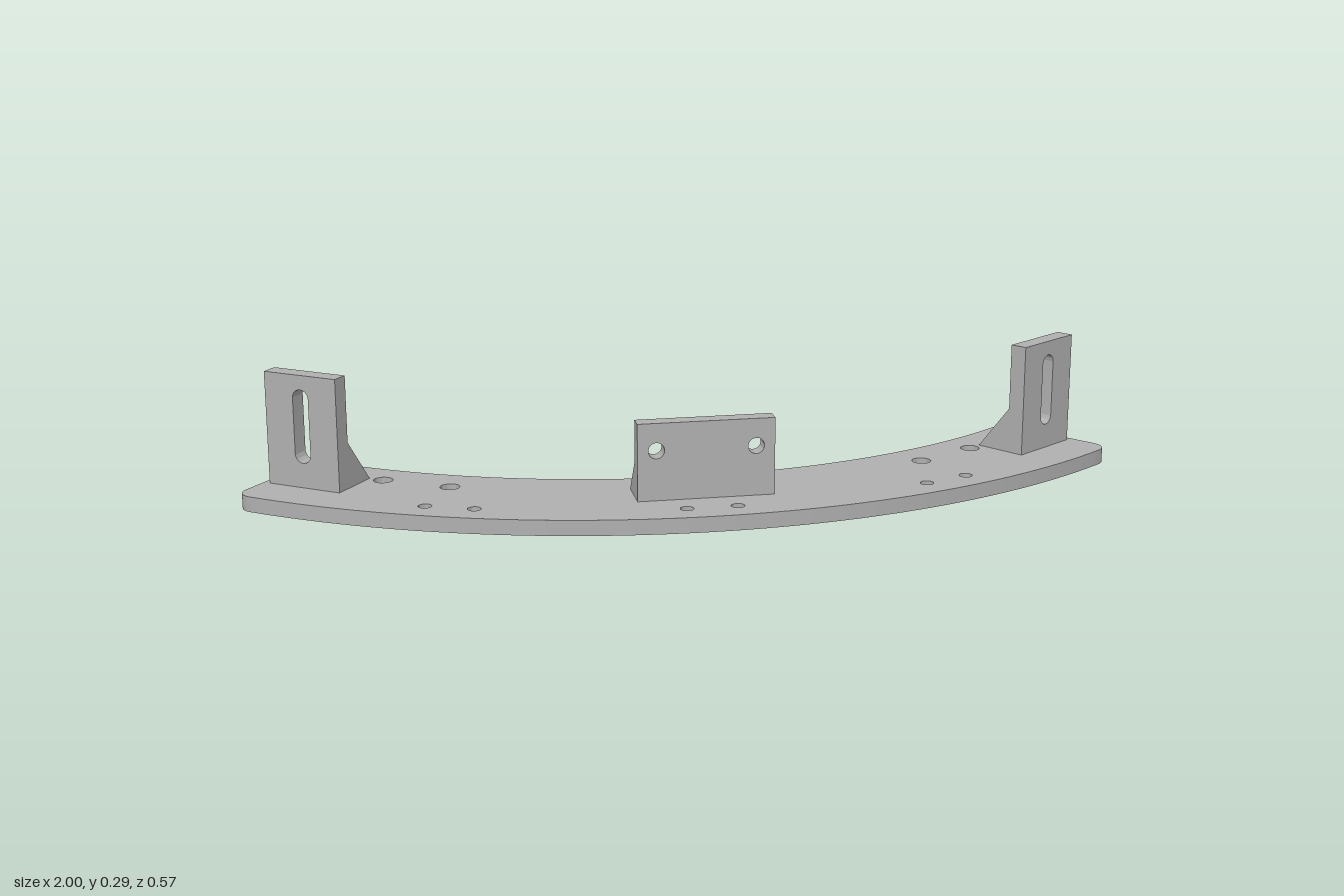
import * as THREE from 'three';
import { toCreasedNormals } from 'three/addons/utils/BufferGeometryUtils.js';

const metal = new THREE.MeshStandardMaterial({ color: 0xb0b0b0 });
metal.name = 'plain grey';

const PLATE = 0.035; // plate thickness
const HALF = Math.PI / 2;

function circleHole(shape, x, y, r) {
  const p = new THREE.Path();
  p.absarc(x, y, r, 0, Math.PI * 2, true);
  shape.holes.push(p);
}

function extrude(shape, depth, curveSegments) {
  return new THREE.ExtrudeGeometry(shape, { depth, curveSegments, bevelEnabled: false });
}

function addMesh(parent, geometry, name) {
  const mesh = new THREE.Mesh(toCreasedNormals(geometry, 0.5), metal);
  mesh.name = name;
  parent.add(mesh);
}

// Curved base: ring sector with rounded corners and drilled holes
function basePlate() {
  const C = 1.345, Ri = 1.332, Ro = 1.632, r = 0.04;
  const a = THREE.MathUtils.degToRad(38.5);
  const to = a - Math.asin(r / (Ro - r)), ti = a - Math.asin(r / (Ri + r));
  const ox = (Ro - r) * Math.sin(to), oy = C - (Ro - r) * Math.cos(to);
  const ix = (Ri + r) * Math.sin(ti), iy = C - (Ri + r) * Math.cos(ti);

  const s = new THREE.Shape();
  s.absarc(0, C, Ro, -HALF - to, -HALF + to, false);
  s.absarc(ox, oy, r, -HALF + to, a, false);
  s.absarc(ix, iy, r, a, HALF + ti, false);
  s.absarc(0, C, Ri, -HALF + ti, -HALF - ti, true);
  s.absarc(-ix, iy, r, HALF - ti, Math.PI - a, false);
  s.absarc(-ox, oy, r, Math.PI - a, 3 * HALF - to, false);

  // x, z, radius; mirrored to both sides
  const holes = [
    [0.085, 0.067, 0.022], [0.545, -0.035, 0.022], [0.688, -0.115, 0.022],
    [0.056, 0.222, 0.015], [0.507, 0.137, 0.015], [0.61, 0.097, 0.015],
  ];
  for (const [x, z, rad] of holes) {
    for (const side of [-1, 1]) circleHole(s, side * x, -z, rad);
  }
  return extrude(s, PLATE, 40).rotateX(-HALF);
}

// Upright wall with a rib behind each end; front face at local z = 0
function bracket(name, { width, height, thick, ribDepth, ribTop, ribWidth, cut }) {
  const group = new THREE.Group();
  group.name = name;
  const h = width / 2;

  const wall = new THREE.Shape();
  wall.moveTo(-h, PLATE);
  wall.lineTo(h, PLATE);
  wall.lineTo(h, height);
  wall.lineTo(-h, height);
  wall.closePath();
  cut(wall);
  addMesh(group, extrude(wall, thick, 16).translate(0, 0, -thick), 'wall');

  const rib = new THREE.Shape();
  rib.moveTo(-ribDepth, PLATE);
  rib.lineTo(-thick, PLATE);
  rib.lineTo(-thick, ribTop);
  rib.closePath();
  for (const x of [-h + ribWidth, h]) {
    addMesh(group, extrude(rib, ribWidth, 1).rotateY(-HALF).translate(x, 0, 0), 'rib');
  }
  return group;
}

export function createModel() {
  const model = new THREE.Group();
  model.name = 'curvedMountingBracket';
  addMesh(model, basePlate(), 'basePlate');

  // Low centre bracket with two round holes
  const centre = bracket('centreBracket', {
    width: 0.306, height: 0.21, thick: 0.038, ribDepth: 0.1, ribTop: 0.115, ribWidth: 0.027,
    cut: (s) => { for (const x of [-0.111, 0.111]) circleHole(s, x, 0.148, 0.018); },
  });
  centre.position.z = 0.155;
  model.add(centre);

  // Tall slotted brackets, turned to follow the curve
  for (const side of [-1, 1]) {
    const end = bracket(side > 0 ? 'leftBracket' : 'rightBracket', {
      width: 0.184, height: 0.293, thick: 0.04, ribDepth: 0.123, ribTop: 0.14, ribWidth: 0.027,
      cut: (s) => {
        const slot = new THREE.Path();
        slot.absarc(0, 0.24, 0.02, 0, Math.PI, false);
        slot.absarc(0, 0.112, 0.02, Math.PI, Math.PI * 2, false);
        slot.closePath();
        s.holes.push(slot);
      },
    });
    end.position.set(side * 0.863, 0, -0.087);
    end.rotation.y = side * THREE.MathUtils.degToRad(35);
    model.add(end);
  }
  return model;
}
